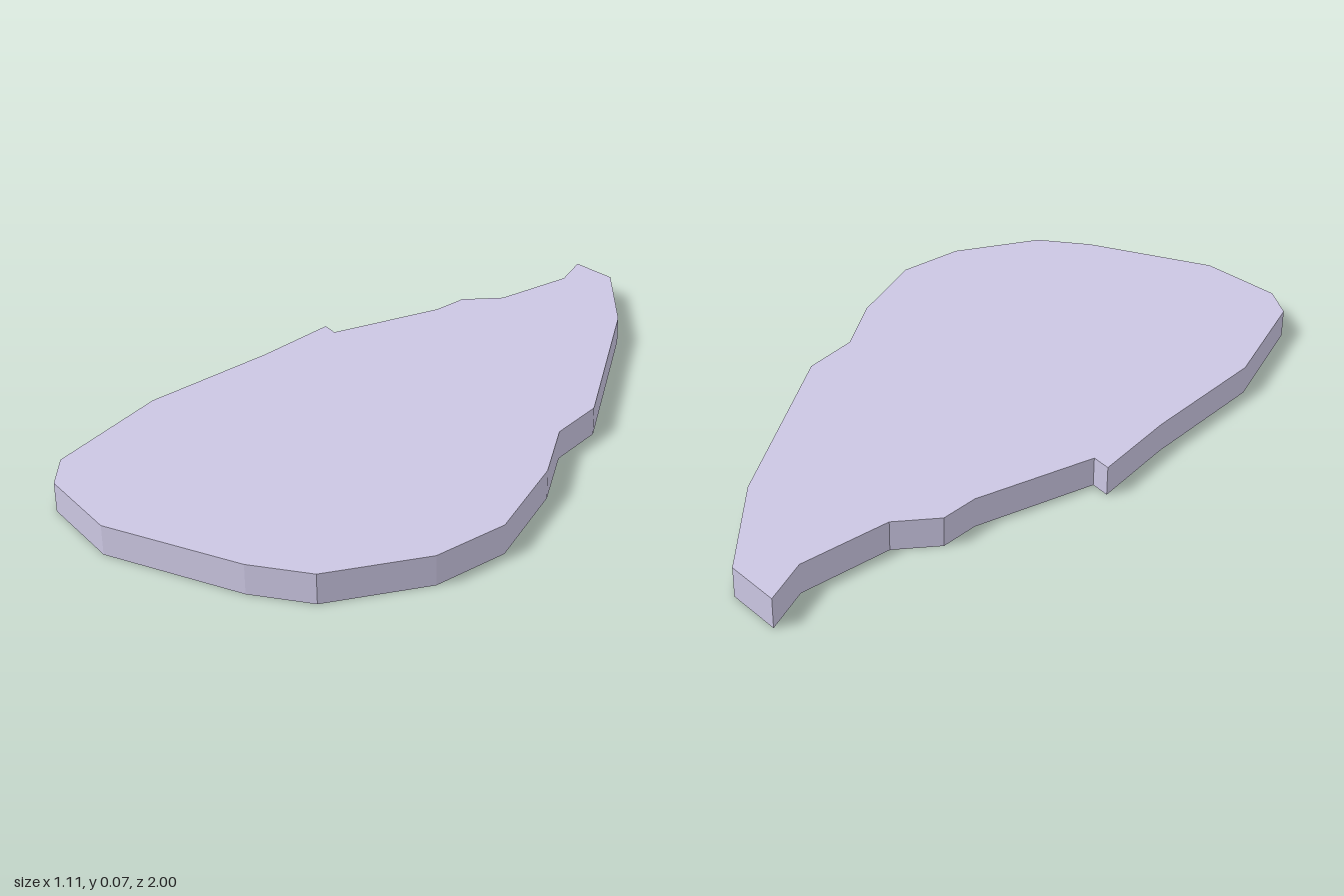
import * as THREE from 'three';

const THICKNESS = 0.073;

// Slab outline seen from above, as [x, z], starting at the back tip
const OUTLINE = [
  [-0.35, -1.0], [-0.205, -0.975], [0.01, -0.73], [0.328, -0.21],
  [0.35, -0.045], [0.46, 0.135], [0.556, 0.4], [0.536, 0.6],
  [0.404, 0.825], [0.263, 0.9], [-0.094, 1.0], [-0.335, 0.95],
  [-0.422, 0.868], [-0.524, 0.51], [-0.533, 0.12], [-0.557, -0.13],
  [-0.507, -0.115], [-0.413, -0.435], [-0.413, -0.54], [-0.333, -0.63],
  [-0.303, -0.875],
];

export function createModel() {
  const group = new THREE.Group();
  group.name = 'stoneSlab';

  // Flat slab, extruded upwards from the ground with sharp edges
  const shape = new THREE.Shape(OUTLINE.map(([x, z]) => new THREE.Vector2(x, -z)));
  const geometry = new THREE.ExtrudeGeometry(shape, { depth: THICKNESS, bevelEnabled: false });
  geometry.rotateX(-Math.PI / 2);

  const material = new THREE.MeshStandardMaterial({ color: 0xcbc6e2, flatShading: true });
  const slab = new THREE.Mesh(geometry, material);
  slab.name = 'slab';
  group.add(slab);
  return group;
}
